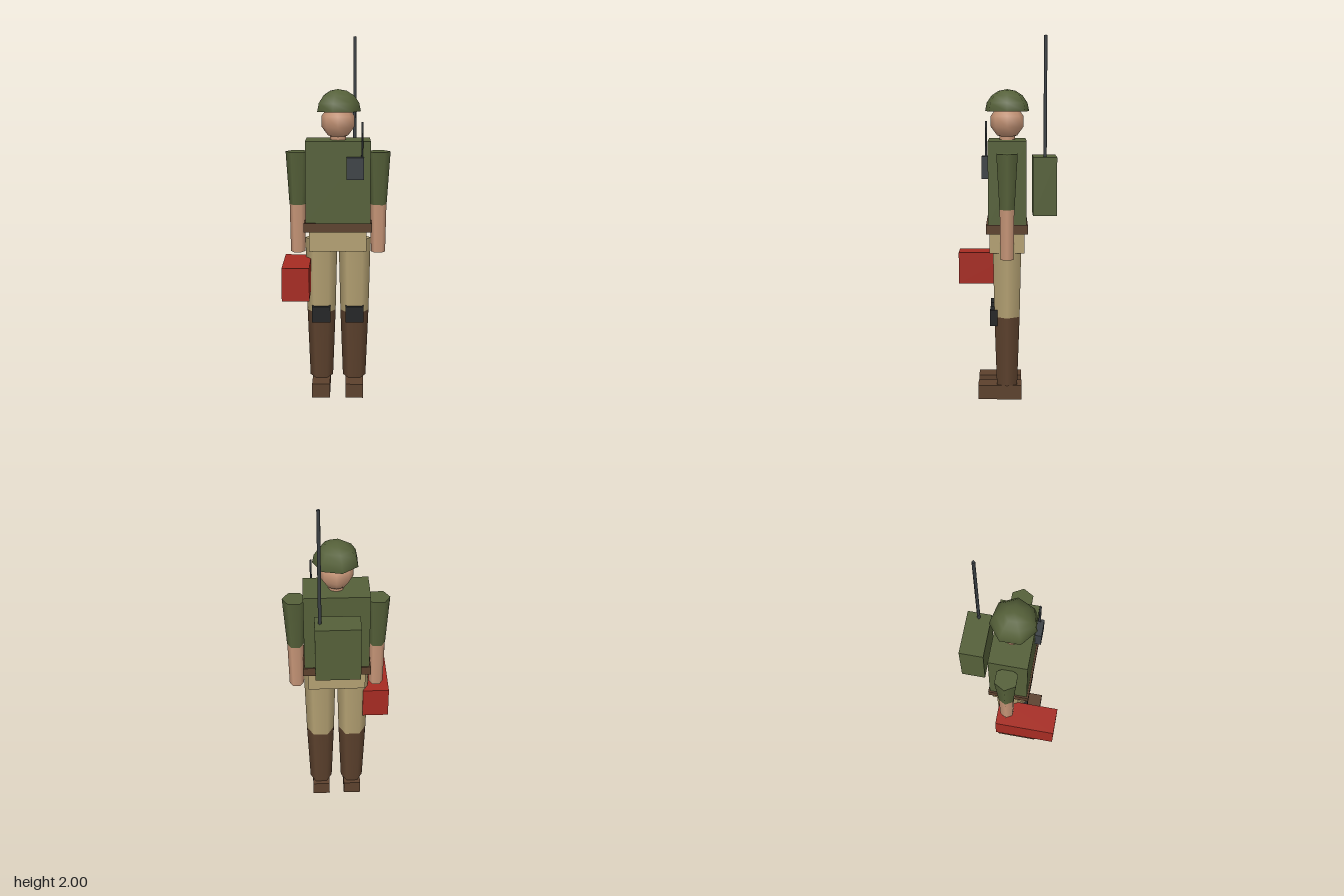
import * as THREE from 'three';

export function createModel() {
  const model = new THREE.Group();
  model.name = 'soldier';

  const paint = (name, color) => {
    const m = new THREE.MeshStandardMaterial({ color });
    m.name = name;
    return m;
  };
  const green = paint('olive green', 0x556039);
  const skin = paint('skin', 0xc69577);
  const tan = paint('khaki', 0xb3a072);
  const brown = paint('leather brown', 0x5c412d);
  const red = paint('red', 0xa62b22);
  const black = paint('black', 0x242526);
  const grey = paint('dark grey', 0x3c4145);
  const helmetGreen = paint('helmet green', 0x556039);
  helmetGreen.side = THREE.DoubleSide;

  // The body stands slightly off the origin
  const CX = 0.004, CZ = -0.006;

  const add = (name, geometry, material, x, y, z) => {
    const mesh = new THREE.Mesh(geometry, material);
    mesh.name = name;
    mesh.position.set(x, y, z);
    model.add(mesh);
    return mesh;
  };
  // Box given by its limits on each axis
  const box = (name, mat, x0, x1, y0, y1, z0, z1) =>
    add(name, new THREE.BoxGeometry(x1 - x0, y1 - y0, z1 - z0), mat,
      (x0 + x1) / 2, (y0 + y1) / 2, (z0 + z1) / 2);
  // Tapered prism with one corner pointing to +x
  const limb = (name, mat, x, z, y0, y1, rBottom, rTop, sides = 6) =>
    add(name, new THREE.CylinderGeometry(rTop, rBottom, y1 - y0, sides, 1, false, Math.PI / 2),
      mat, x, (y0 + y1) / 2, z);

  // Trunk
  box('torso', green, CX - 0.178, CX + 0.178, 0.99, 1.44, -0.11, 0.097);
  box('belt', brown, CX - 0.187, CX + 0.187, 0.94, 0.99, -0.118, 0.107);
  box('hips', tan, CX - 0.159, CX + 0.159, 0.83, 0.94, -0.1, 0.09);

  // Head and helmet
  limb('neck', skin, CX, CZ, 1.42, 1.49, 0.043, 0.043, 8);
  add('head', new THREE.SphereGeometry(0.095, 8, 5), skin, CX, 1.54, CZ);
  const helmet = add('helmet',
    new THREE.SphereGeometry(0.125, 7, 4, 0, Math.PI * 2, 0, Math.PI / 2),
    helmetGreen, CX, 1.595, CZ);
  helmet.rotation.y = Math.PI;
  helmet.scale.y = 0.96;

  // Arms and legs
  for (const [side, s] of [['left', 1], ['right', -1]]) {
    const armX = CX + s * 0.225;
    limb(side + 'Sleeve', green, armX, CZ, 1.08, 1.375, 0.046, 0.065);
    limb(side + 'Forearm', skin, armX, CZ, 0.81, 1.08, 0.04, 0.045);

    const legX = CX + s * 0.0935;
    limb(side + 'Trouser', tan, legX, CZ, 0.47, 0.89, 0.08, 0.09);
    limb(side + 'BootShaft', brown, legX, CZ, 0.08, 0.47, 0.065, 0.08);
    box(side + 'Foot', brown, legX - 0.05, legX + 0.05, 0, 0.08, -0.087, 0.154);
    box(side + 'KneePad', black, legX - 0.051, legX + 0.051, 0.42, 0.51, 0.047, 0.087);
  }

  // Backpack with long aerial
  box('backpack', green, -0.118, 0.125, 1.03, 1.35, -0.277, -0.147);
  limb('backpackAerial', grey, 0.097, -0.212, 1.34, 2, 0.009, 0.009, 4);

  // Chest radio with short aerial
  box('chestRadio', grey, 0.05, 0.145, 1.235, 1.355, 0.09, 0.131);
  limb('radioAerial', grey, 0.134, 0.107, 1.35, 1.545, 0.007, 0.007, 3);

  // Carried case by the right hand
  box('carriedCase', red, -0.295, -0.147, 0.597, 0.778, -0.061, 0.275);

  return model;
}
